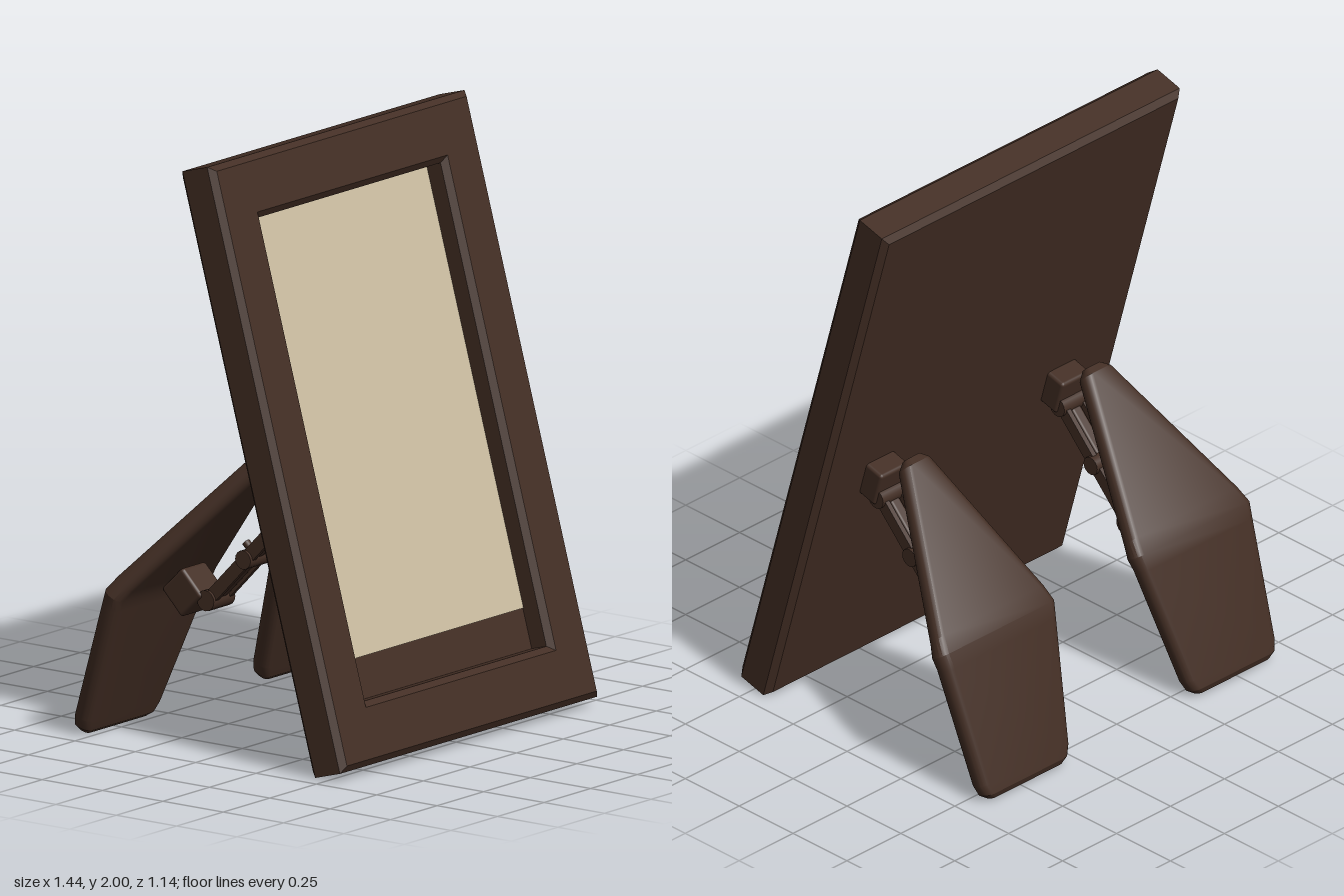
import * as THREE from 'three';
import { toCreasedNormals } from 'three/addons/utils/BufferGeometryUtils.js';
import { RoundedBoxGeometry } from 'three/addons/geometries/RoundedBoxGeometry.js';

const wood = new THREE.MeshStandardMaterial({ color: 0x432e24 });
const paper = new THREE.MeshStandardMaterial({ color: 0xcdbfa2 });
const TILT = -0.273;

function add(parent, name, geometry, material = wood) {
  const mesh = new THREE.Mesh(geometry, material);
  mesh.name = name;
  parent.add(mesh);
  return mesh;
}

function rectPath(path, w, h) {
  path.moveTo(-w, -h);
  path.lineTo(w, -h);
  path.lineTo(w, h);
  path.lineTo(-w, h);
  path.closePath();
  return path;
}

// Bevelled frame with a recessed backing and picture sheet
function makeFrame() {
  const frame = new THREE.Group();
  frame.name = 'frame';
  const shape = rectPath(new THREE.Shape(), 0.67, 1.0);
  shape.holes.push(rectPath(new THREE.Path(), 0.51, 0.833));
  const border = new THREE.ExtrudeGeometry(shape, {
    depth: 0.106, bevelEnabled: true, bevelSize: 0.02, bevelThickness: 0.02, bevelSegments: 1,
  });
  border.translate(0, 0, -0.053);
  add(frame, 'frameBorder', border);
  add(frame, 'backing', new THREE.BoxGeometry(1.02, 1.666, 0.063)).position.z = -0.0415;
  add(frame, 'pictureSheet', new THREE.BoxGeometry(0.975, 1.487, 0.006), paper).position.set(0, 0.0675, -0.008);
  frame.position.set(0, 1, 0.225);
  frame.rotation.x = TILT;
  return frame;
}

// Rounded rectangular cross-section, counter-clockwise
function section(halfWidth, halfThick) {
  const r = Math.min(halfWidth, halfThick) * 0.85, points = [];
  for (let c = 0; c < 4; c++) {
    const sx = c === 0 || c === 3 ? 1 : -1, sy = c < 2 ? 1 : -1;
    for (let k = 0; k <= 4; k++) {
      const a = (c + k / 4) * Math.PI / 2;
      points.push([sx * (halfWidth - r) + r * Math.cos(a), sy * (halfThick - r) + r * Math.sin(a)]);
    }
  }
  return points;
}

// Bent leg plate lofted along stations: [y, z, centreX, halfWidth, halfThickness, normalAngle]
function legGeometry(side) {
  const upper = 0.76, bend = 1.03, lower = 1.24;
  const stations = [
    [0.965, 0.036, 0.417, 0.035, 0.018, upper],
    [0.945, 0.020, 0.419, 0.062, 0.035, upper],
    [0.540, -0.348, 0.449, 0.252, 0.036, upper],
    [0.500, -0.380, 0.4525, 0.2675, 0.037, bend],
    [0.455, -0.398, 0.455, 0.258, 0.036, lower],
    [0.060, -0.533, 0.478, 0.205, 0.035, lower],
    [0.025, -0.545, 0.480, 0.190, 0.033, lower],
    [0.008, -0.551, 0.480, 0.165, 0.020, lower],
  ];
  const positions = [], index = [];
  let n = 0;
  for (const [y, z, cx, hw, ht, a] of stations) {
    const ring = section(hw, ht);
    n = ring.length;
    for (const [u, v] of ring) positions.push(side * cx + u, y + v * Math.cos(a), z - v * Math.sin(a));
  }
  const last = stations.length - 1;
  for (let i = 0; i < last; i++) {
    for (let j = 0; j < n; j++) {
      const a = i * n + j, d = i * n + (j + 1) % n;
      index.push(a, a + n, d + n, a, d + n, d);
    }
  }
  for (let j = 1; j < n - 1; j++) {
    index.push(0, j, j + 1, last * n, last * n + j + 1, last * n + j);
  }
  const geometry = new THREE.BufferGeometry();
  geometry.setAttribute('position', new THREE.Float32BufferAttribute(positions, 3));
  geometry.setIndex(index);
  return toCreasedNormals(geometry, 0.42);
}

// Jointed bracket between the frame's back and the leg
function makeHinge(x) {
  const hinge = new THREE.Group();
  hinge.name = 'hinge';
  hinge.position.x = x;
  const mount = add(hinge, 'hingeMount', new RoundedBoxGeometry(0.13, 0.13, 0.09, 2, 0.012));
  mount.position.set(0, 0.84, 0.165);
  mount.rotation.x = TILT;
  const foot = add(hinge, 'hingeFoot', new RoundedBoxGeometry(0.13, 0.12, 0.12, 2, 0.012));
  foot.position.set(0, 0.485, -0.265);
  foot.rotation.x = 0.8;

  // Two slim side links and a thicker core along the arm
  const start = new THREE.Vector3(0, 0.79, 0.14), end = new THREE.Vector3(0, 0.47, -0.17);
  const arm = new THREE.Group();
  arm.name = 'hingeArm';
  arm.position.copy(start).lerp(end, 0.5);
  arm.lookAt(end);
  const length = start.distanceTo(end);
  for (const s of [-1, 1]) {
    add(arm, 'armLink', new THREE.BoxGeometry(0.018, 0.045, length)).position.x = s * 0.038;
  }
  add(arm, 'armCore', new RoundedBoxGeometry(0.045, 0.034, length * 0.9, 2, 0.012));
  hinge.add(arm);

  // Pivot pins
  for (const [t, r] of [[0, 0.035], [0.5, 0.032], [1, 0.035]]) {
    const pin = add(hinge, 'hingePin', new THREE.CylinderGeometry(r, r, 0.115, 16));
    pin.rotation.z = Math.PI / 2;
    pin.position.copy(start).lerp(end, t);
  }
  const knob = add(hinge, 'hingeScrew', new THREE.CylinderGeometry(0.014, 0.014, 0.06, 10));
  knob.position.set(0, 0.655, -0.025);
  knob.rotation.x = -0.8;
  return hinge;
}

export function createModel() {
  const model = new THREE.Group();
  model.name = 'pictureFrame';
  model.add(makeFrame());
  for (const side of [-1, 1]) {
    add(model, side > 0 ? 'leftLeg' : 'rightLeg', legGeometry(side));
    model.add(makeHinge(side * 0.42));
  }
  return model;
}
